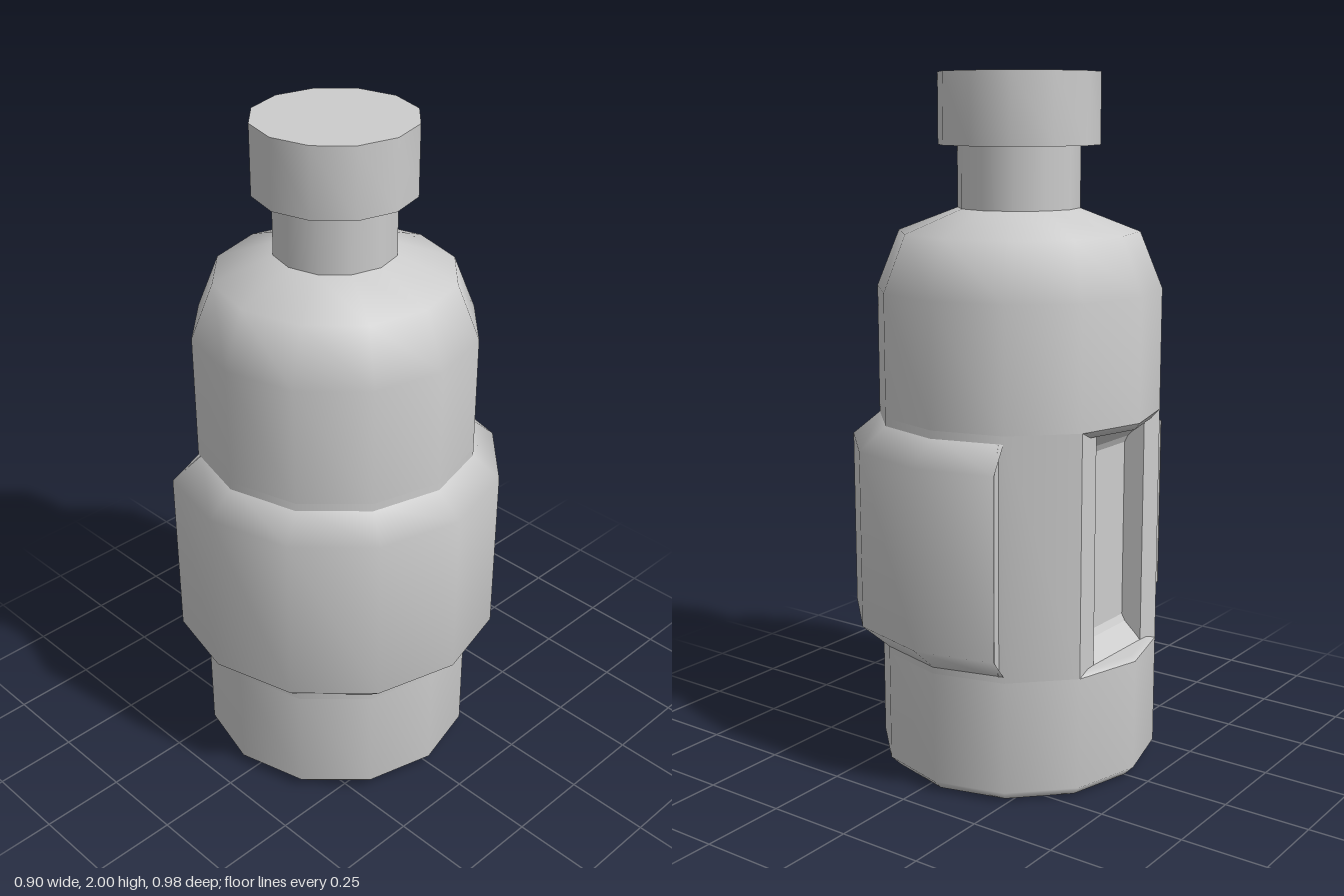
import * as THREE from 'three';
import { toCreasedNormals } from 'three/addons/utils/BufferGeometryUtils.js';

const SIDES = 12;
const R = 0.41;

export function createModel() {
  const bottle = new THREE.Group();
  bottle.name = 'bottle';
  const grey = new THREE.MeshStandardMaterial({ color: 0xcccccc });
  const thin = new THREE.MeshStandardMaterial({ color: 0xcccccc, side: THREE.DoubleSide });
  const vec = (pts) => pts.map(([x, y]) => new THREE.Vector2(x, y));

  const add = (name, geometry, material = grey) => {
    const mesh = new THREE.Mesh(geometry, material);
    mesh.name = name;
    mesh.position.x = -0.04;
    bottle.add(mesh);
    return mesh;
  };
  const lathe = (pts) => new THREE.LatheGeometry(vec(pts), SIDES);

  // Base with a small bevel, closed by the lower lip of the grip
  add('base', lathe([[0, 0], [0.38, 0], [R, 0.03], [R, 0.355]]));
  add('lowerLip', lathe([[R, 0.355], [0.395, 0.37], [0, 0.37]]));

  // Upper body, shoulder and neck
  add('upperLip', lathe([[0, 1.03], [0.395, 1.03], [R, 1.05]]));
  add('upperBody', lathe([[R, 1.05], [R, 1.4], [0.345, 1.56], [0.175, 1.625]]));
  add('neck', lathe([[0.175, 1.62], [0.175, 1.81]]));

  // Cap with flat top and underside
  add('cap', toCreasedNormals(lathe([[0, 1.8], [0.23, 1.8], [0.23, 2], [0, 2]]), 0.8));

  // Middle of the body: twelve sides with a flattened, hollowed grip on the right
  const outline = [];
  for (let a = -150; a <= 150; a += 30) {
    const t = THREE.MathUtils.degToRad(a);
    outline.push([R * Math.cos(t), R * Math.sin(t)]);
  }
  outline.push([-0.35, 0.127], [-0.29, 0.12], [-0.29, -0.12], [-0.35, -0.127]);
  const middle = new THREE.ExtrudeGeometry(new THREE.Shape(vec(outline)), {
    depth: 0.695, bevelEnabled: false,
  });
  middle.rotateX(-Math.PI / 2).translate(0, 0.355, 0);
  add('gripBody', toCreasedNormals(middle, 0.6));

  // Sloped fillets at the bottom and top of the hollow
  for (const [name, y, dir] of [['lowerFillet', 0.37, 1], ['upperFillet', 1.03, -1]]) {
    const wedge = new THREE.Shape(vec([
      [-0.35, y], [-0.28, y], [-0.28, y + dir * 0.09], [-0.3, y + dir * 0.05],
    ]));
    const fillet = new THREE.ExtrudeGeometry(wedge, { depth: 0.25, bevelEnabled: false });
    add(name, fillet.translate(0, 0, -0.125));
  }

  // Raised band around the body, open at the grip
  const profile = vec([[0.4, 0.365], [0.49, 0.445], [0.49, 0.96], [0.4, 1.035]]);
  const band = new THREE.LatheGeometry(profile, 8, -Math.PI / 6, Math.PI * 4 / 3);
  const p = band.attributes.position;
  for (let i = 0; i < p.count; i++) {
    // Pull the outer corners of the two ends forward a little
    if (p.getX(i) < -0.22) p.setXYZ(i, -0.23, p.getY(i), Math.sign(p.getZ(i)) * 0.435);
  }
  add('band', band, thin);
  for (const side of [1, -1]) {
    const end = add('bandEnd', new THREE.ShapeGeometry(new THREE.Shape(profile)), thin);
    end.rotation.y = Math.atan2(-side * 0.435, -0.23);
  }
  return bottle;
}
